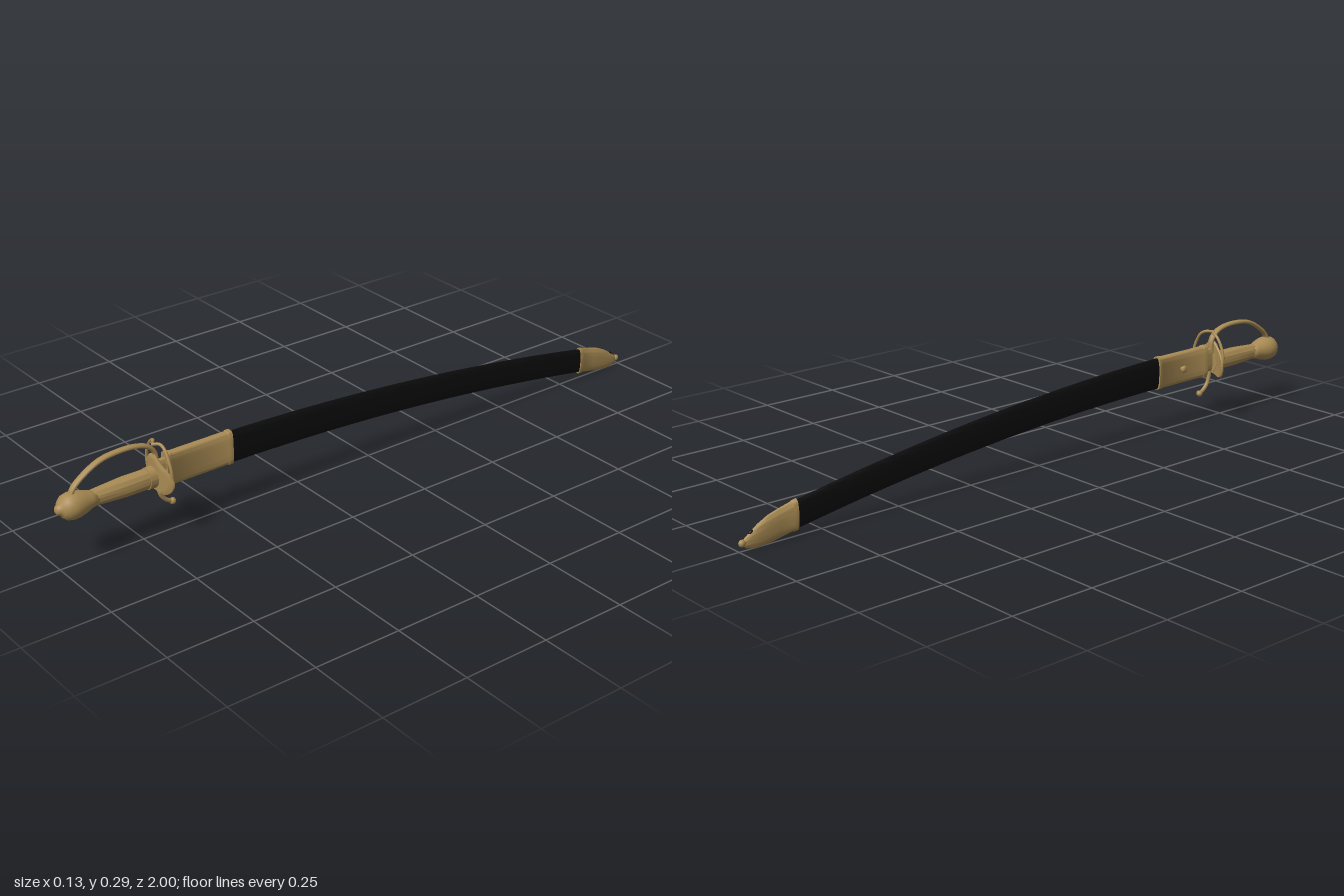
import * as THREE from 'three';
import { toCreasedNormals } from 'three/addons/utils/BufferGeometryUtils.js';

const brass = new THREE.MeshStandardMaterial({ color: 0xa88a53 });
brass.name = 'brass';
const leather = new THREE.MeshStandardMaterial({ color: 0x0b0b0b });
leather.name = 'blackLeather';

const V = (x, y, z) => new THREE.Vector3(x, y, z);

// Closed skin over counter-clockwise rings of points, ordered from +z to -z
function skin(rings, crease = 0.7) {
  const n = rings[0].length, pos = [], idx = [];
  rings.forEach(r => r.forEach(p => pos.push(p.x, p.y, p.z)));
  for (let i = 0; i < rings.length - 1; i++) {
    for (let j = 0; j < n; j++) {
      const a = i * n + j, b = i * n + (j + 1) % n;
      idx.push(a, a + n, b, b, a + n, b + n);
    }
  }
  const last = (rings.length - 1) * n;
  for (let j = 1; j < n - 1; j++) {
    idx.push(0, j, j + 1, last, last + j + 1, last + j);
  }
  const g = new THREE.BufferGeometry();
  g.setAttribute('position', new THREE.Float32BufferAttribute(pos, 3));
  g.setIndex(idx);
  return toCreasedNormals(g, crease);
}

// Superellipse section: power 1 is an ellipse, smaller is boxier
function section([z, cy, hx, hy], power = 1, ripple = () => 1, n = 32) {
  return Array.from({ length: n }, (_, j) => {
    const t = (j / n) * Math.PI * 2, c = Math.cos(t), s = Math.sin(t), k = ripple(t);
    return V(Math.sign(c) * Math.abs(c) ** power * hx * k,
      cy + Math.sign(s) * Math.abs(s) ** power * hy * k, z);
  });
}

// Centre line of the curved scabbard
const spine = z => 0.187 - 0.061 * Math.max(0, 0.6 - z) ** 2;

export function createModel() {
  const model = new THREE.Group();
  model.name = 'sabre';
  const add = (name, geometry, material = brass) => {
    const mesh = new THREE.Mesh(geometry, material);
    mesh.name = name;
    model.add(mesh);
    return mesh;
  };
  const ball = (name, r, x, y, z, sx = 1, sy = 1, sz = 1, mat = brass) => {
    const m = add(name, new THREE.SphereGeometry(r, 20, 14), mat);
    m.position.set(x, y, z);
    m.scale.set(sx, sy, sz);
    return m;
  };
  const tube = (name, pts, r) => add(name,
    new THREE.TubeGeometry(new THREE.CatmullRomCurve3(pts.map(p => V(...p))), 48, r, 10));

  // Scabbard body
  const body = [];
  for (let i = 0; i <= 40; i++) {
    const t = i / 40, z = 0.5 - t * 1.36;
    body.push(section([z, spine(z), 0.012 - 0.002 * t, 0.047 - 0.009 * t], 0.75));
  }
  add('scabbardBody', skin(body), leather);

  // Throat fitting with a raised lip at each end
  const throat = [[0.675, 0.016, 0.05], [0.66, 0.016, 0.05], [0.658, 0.0145, 0.048],
    [0.482, 0.0145, 0.048], [0.48, 0.016, 0.05], [0.468, 0.016, 0.05]];
  add('scabbardThroat', skin(throat.map(([z, hx, hy]) => section([z, 0.187, hx, hy], 0.5))));
  const stud = add('throatStud', new THREE.CylinderGeometry(0.006, 0.006, 0.01, 16));
  stud.rotation.z = Math.PI / 2;
  stud.position.set(-0.018, 0.187, 0.56);
  ball('throatStudHead', 0.011, -0.025, 0.187, 0.56, 0.6);

  // Chape at the tip
  const chape = [[-0.825, 0.063, 0.0135, 0.043], [-0.838, 0.061, 0.0135, 0.042],
    [-0.84, 0.061, 0.0125, 0.04], [-0.88, 0.052, 0.012, 0.039], [-0.91, 0.045, 0.011, 0.037],
    [-0.94, 0.036, 0.010, 0.031], [-0.965, 0.028, 0.008, 0.022], [-0.98, 0.025, 0.006, 0.014],
    [-0.988, 0.025, 0.004, 0.008]];
  add('chape', skin(chape.map(s => section(s, 0.8))));
  ball('chapeTip', 0.01, 0, 0.026, -0.99, 0.85);
  ball('chapeSlot', 0.009, 0, 0.048, -0.962, 0.55, 0.7, 1, leather).rotation.x = -0.6;

  // Fluted grip
  const flutes = t => 1 - 0.05 * (0.5 + 0.5 * Math.cos(t * 10));
  const grip = [[0.93, 0.019, 0.021], [0.9, 0.02, 0.022], [0.86, 0.022, 0.025],
    [0.8, 0.025, 0.029], [0.74, 0.024, 0.029], [0.7, 0.023, 0.027]];
  add('grip', skin(grip.map(([z, hx, hy]) => section([z, 0.178, hx, hy], 1, flutes, 80))));
  add('gripCollar', skin([0.732, 0.7].map(z => section([z, 0.178, 0.026, 0.031]))));

  // Pommel with its cap button, turned about the z axis
  const profile = [[0, 0.875], [0.02, 0.88], [0.024, 0.9], [0.031, 0.92], [0.036, 0.94],
    [0.037, 0.956], [0.033, 0.973], [0.023, 0.985], [0.014, 0.988], [0.0135, 0.994],
    [0.008, 0.999], [0, 1]].map(p => new THREE.Vector2(...p));
  const pommel = add('pommel', new THREE.LatheGeometry(profile, 36));
  pommel.rotation.x = Math.PI / 2;
  pommel.position.y = 0.177;

  // Heart-shaped guard plate, dished away from the hand
  const half = [[0.008, 0.243], [-0.008, 0.243], [-0.03, 0.224], [-0.056, 0.198],
    [-0.065, 0.17], [-0.055, 0.146], [-0.035, 0.136], [-0.012, 0.142],
    [0.012, 0.142], [0.035, 0.136], [0.055, 0.146], [0.065, 0.17], [0.056, 0.198], [0.03, 0.224]];
  const outline = new THREE.CatmullRomCurve3(half.map(([x, y]) => V(x, y, 0)), true)
    .getSpacedPoints(72).slice(0, 72);
  const plateRing = (s, drop) => outline.map(p => {
    const x = p.x * s, y = 0.182 + (p.y - 0.182) * s;
    return V(x, y, 0.713 - 5 * x * x - drop);
  });
  const scales = [0.05, 0.25, 0.5, 0.75, 0.95];
  add('guardPlate', skin([
    ...scales.map(s => plateRing(s, 0)), plateRing(1, 0.002), plateRing(1, 0.006),
    ...scales.slice().reverse().map(s => plateRing(s, 0.009))]));
  add('bladeShoulder', skin([0.706, 0.67].map(z => section([z, 0.187, 0.01, 0.036], 0.6))));

  // Knuckle bow, a wide flat strap from pommel to guard
  tube('knuckleBow', [[0, 0.195, 0.957], [0, 0.222, 0.947], [0, 0.25, 0.915], [0, 0.276, 0.865],
    [0, 0.284, 0.81], [0, 0.281, 0.755], [0, 0.268, 0.72], [0, 0.245, 0.702],
    [0, 0.2, 0.702]], 0.0065).scale.x = 1.55;

  // Side rings
  for (const s of [1, -1]) {
    tube('sideRing', [[0, 0.272, 0.71], [s * 0.016, 0.273, 0.695], [s * 0.035, 0.262, 0.692],
      [s * 0.052, 0.235, 0.692], [s * 0.06, 0.21, 0.691], [s * 0.061, 0.19, 0.69]], 0.0045);
  }

  // Lower quillon with a ball end
  tube('quillon', [[0, 0.17, 0.7], [0, 0.135, 0.696], [0, 0.112, 0.688], [0, 0.096, 0.673],
    [0, 0.088, 0.658]], 0.006);
  ball('quillonBall', 0.0095, 0, 0.087, 0.656);

  return model;
}
